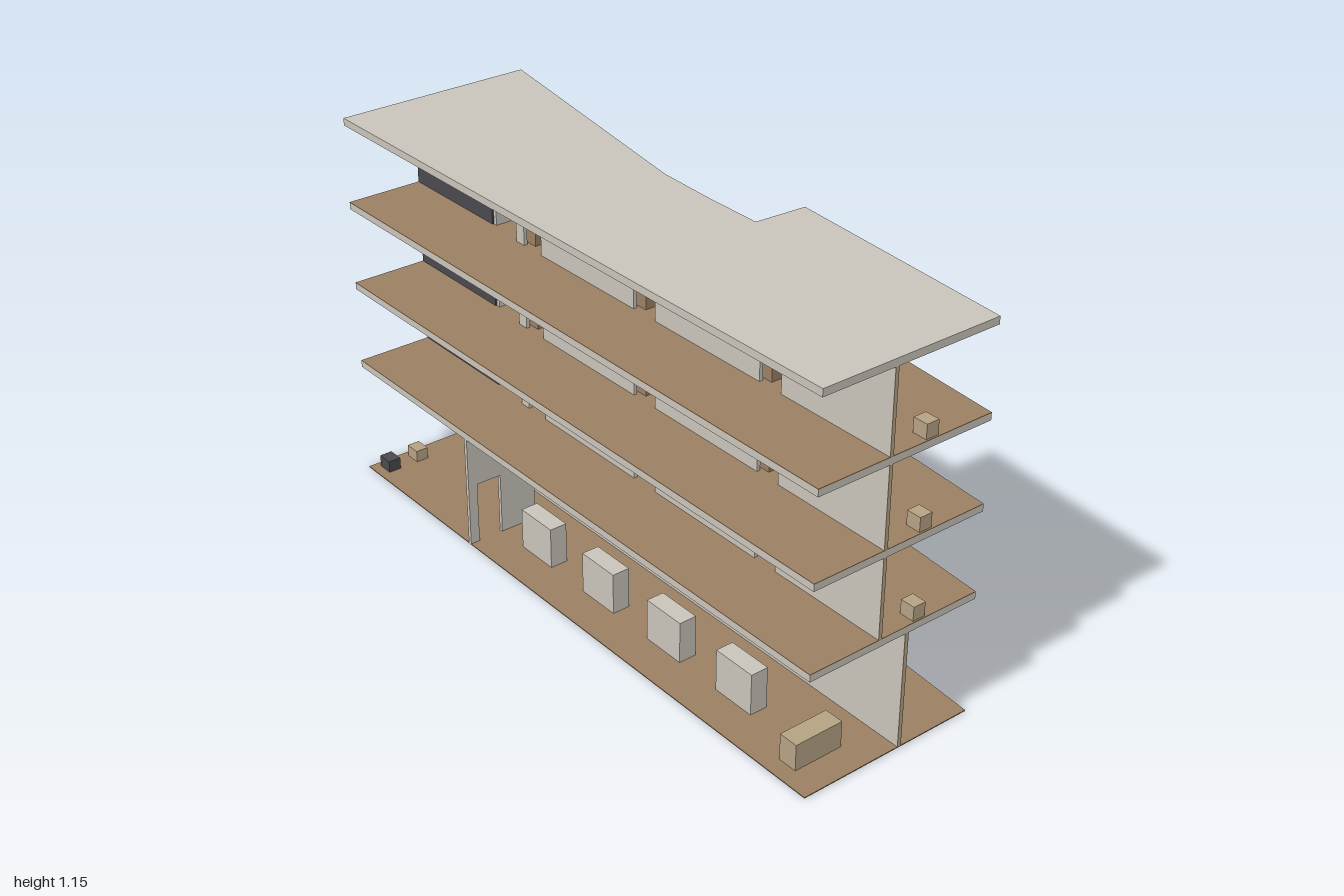
import * as THREE from 'three';

const mat = (name, color) => {
  const m = new THREE.MeshStandardMaterial({ color });
  m.name = name;
  return m;
};

export function createModel() {
  const plaster = mat('plaster', 0xc9c4bb);
  const wood = mat('wood', 0x9b8062);
  const tan = mat('tan', 0xb5a284);
  const dark = mat('charcoal', 0x4a494f);

  const root = new THREE.Group();
  root.name = 'building';

  // Box given by its extents
  const box = (parent, name, m, x0, x1, y0, y1, z0, z1) => {
    const mesh = new THREE.Mesh(new THREE.BoxGeometry(x1 - x0, y1 - y0, z1 - z0), m);
    mesh.position.set((x0 + x1) / 2, (y0 + y1) / 2, (z0 + z1) / 2);
    mesh.name = name;
    parent.add(mesh);
    return mesh;
  };
  const group = (name) => {
    const g = new THREE.Group();
    g.name = name;
    root.add(g);
    return g;
  };

  // Floor outline in (x, z), optionally with the stairwell cut from the back edge
  const outline = (stairwell) => {
    const pts = [[-0.31, 1], [0.25, 1], [0.305, 0.26], [0.145, 0.25], [0.147, 0.05],
      [0.155, -0.13], [0.305, -1]];
    if (stairwell) pts.push([0.16, -1], [0.16, -0.68], [-0.07, -0.68], [-0.07, -1]);
    pts.push([-0.31, -1]);
    return new THREE.Shape(pts.map(([x, z]) => new THREE.Vector2(x, -z)));
  };
  const slab = (parent, name, m, y, depth, stairwell) => {
    const geo = new THREE.ExtrudeGeometry(outline(stairwell), { depth, bevelEnabled: false });
    geo.rotateX(-Math.PI / 2);
    const mesh = new THREE.Mesh(geo, m);
    mesh.position.y = y;
    mesh.name = name;
    parent.add(mesh);
  };

  // Wall along x with one doorway
  const crossWall = (parent, name, x0, x1, y0, y1, z, d0, d1, doorHeight) => {
    const a = z - 0.006, b = z + 0.006;
    box(parent, name, plaster, x0, d0, y0, y1, a, b);
    box(parent, name, plaster, d1, x1, y0, y1, a, b);
    box(parent, name + 'Lintel', plaster, d0, d1, y0 + doorHeight, y1, a, b);
  };

  // One flight of stairs with a stepped handrail; dir -1 climbs to the back, +1 to the front
  const flight = (parent, x0, x1, yStart, yEnd, zStart, zEnd, railX) => {
    const n = Math.max(6, Math.round((yEnd - yStart) / 0.018));
    const rise = (yEnd - yStart) / n, run = (zEnd - zStart) / n;
    for (let i = 0; i < n; i++) {
      const za = zStart + run * i, zb = za + run * 1.25;
      const top = yStart + rise * (i + 1);
      box(parent, 'step', wood, x0, x1, top - 0.02, top, Math.min(za, zb), Math.max(za, zb));
      if (i % 2 === 0) {
        const zc = za + run / 2;
        box(parent, 'handrailPiece', dark, railX - 0.003, railX + 0.003,
          top + 0.076, top + 0.081, zc - 0.024, zc + 0.024);
      }
    }
  };

  // Ground floor
  const ground = group('groundFloor');
  slab(ground, 'groundPlate', wood, 0, 0.003, false);
  box(ground, 'longWall', plaster, 0.006, 0.018, 0, 0.355, -0.61, 0.998);
  box(ground, 'longWallEnd', tan, 0.006, 0.018, 0, 0.355, 0.998, 1);
  crossWall(ground, 'lobbyWall', -0.31, -0.08, 0, 0.355, -0.45, -0.28, -0.2, 0.195);
  box(ground, 'receptionDesk', tan, -0.26, -0.105, 0, 0.083, 0.85, 0.91);
  for (const z of [0.6, 0.31, 0.02, -0.27]) {
    box(ground, 'cabinet', plaster, -0.2, -0.145, -0.0005, 0.13, z - 0.07, z + 0.07);
  }
  box(ground, 'darkCrate', dark, -0.28, -0.24, 0, 0.04, -0.98, -0.93);
  box(ground, 'tanCrate', tan, -0.18, -0.14, 0, 0.04, -0.98, -0.93);

  // Upper storeys: slab, walls, furniture and railing
  const floors = [0.375, 0.635, 0.893];
  const ceilings = [0.613, 0.871, 1.13];
  const doors = [[-0.45, -0.37], [0.04, 0.13], [0.54, 0.62]];
  floors.forEach((y, i) => {
    const top = ceilings[i];
    const g = group('storey' + (i + 1));
    slab(g, 'slab', plaster, y - 0.022, 0.02, true);
    slab(g, 'floorFinish', wood, y - 0.002, 0.002, true);

    // Corridor wall with three doorways
    let z = -0.486;
    for (const [d0, d1] of doors) {
      box(g, 'corridorWall', plaster, -0.086, -0.075, y, top, z, d0);
      box(g, 'corridorLintel', plaster, -0.086, -0.075, y + 0.197, top, d0, d1);
      z = d1;
    }
    box(g, 'corridorWall', plaster, -0.086, -0.075, y, top, z, 0.998);
    box(g, 'corridorWallEnd', tan, -0.086, -0.075, y, top, 0.998, 1);

    // Room dividers
    for (const zw of [0.505, 0.008, -0.482]) {
      box(g, 'roomDivider', plaster, -0.075, 0.145, y, top, zw - 0.006, zw + 0.006);
      box(g, 'dividerEnd', tan, 0.145, 0.147, y, top, zw - 0.006, zw + 0.006);
    }

    // Furniture for the three rooms
    for (const zb of [0.512, 0.015, -0.475]) {
      box(g, 'bed', plaster, -0.015, 0.125, y, y + 0.042, zb, zb + 0.187);
      box(g, 'nightstand', wood, -0.065, -0.025, y, y + 0.042, zb + 0.01, zb + 0.05);
    }
    for (const zd of [0.498, 0.001]) {
      box(g, 'desk', tan, -0.065, -0.025, y, y + 0.042, zd - 0.08, zd);
      box(g, 'deskChair', wood, -0.065, -0.025, y, y + 0.042, zd - 0.105, zd - 0.08);
    }
    box(g, 'stool', tan, 0.035, 0.075, y, y + 0.042, 0.95, 0.995);
    box(g, 'stool', wood, 0.1, 0.14, y, y + 0.042, 0.26, 0.3);
    box(g, 'stool', wood, 0.1, 0.14, y, y + 0.042, -0.24, -0.2);

    box(g, 'stairRailing', dark, -0.074, -0.068, y, y + 0.097, -1, -0.62);
  });

  // Stairwell: front wall, two flights and a landing per storey
  const stairs = group('stairwell');
  const bases = [0, ...floors];
  const tops = [0.353, ...ceilings];
  bases.forEach((y, i) => {
    crossWall(stairs, 'stairWall', -0.07, 0.145, y, tops[i], -0.612, 0.043, 0.127, 0.19);
    box(stairs, 'stairWallEnd', tan, 0.145, 0.147, y, tops[i], -0.618, -0.606);
    if (i === 3) return;
    const next = bases[i + 1];
    const mid = (y + next) / 2 - (i ? 0.006 : 0.005);
    flight(stairs, 0.045, 0.125, y, mid, i ? -0.69 : -0.618, -0.87, 0.128);
    flight(stairs, -0.055, 0.03, mid, next, -0.87, -0.68, 0.03);
    box(stairs, 'landing', wood, -0.06, 0.145, mid - 0.016, mid, -1, -0.865);
  });

  // Roof
  slab(root, 'roof', plaster, 1.13, 0.022, false);
  return root;
}
